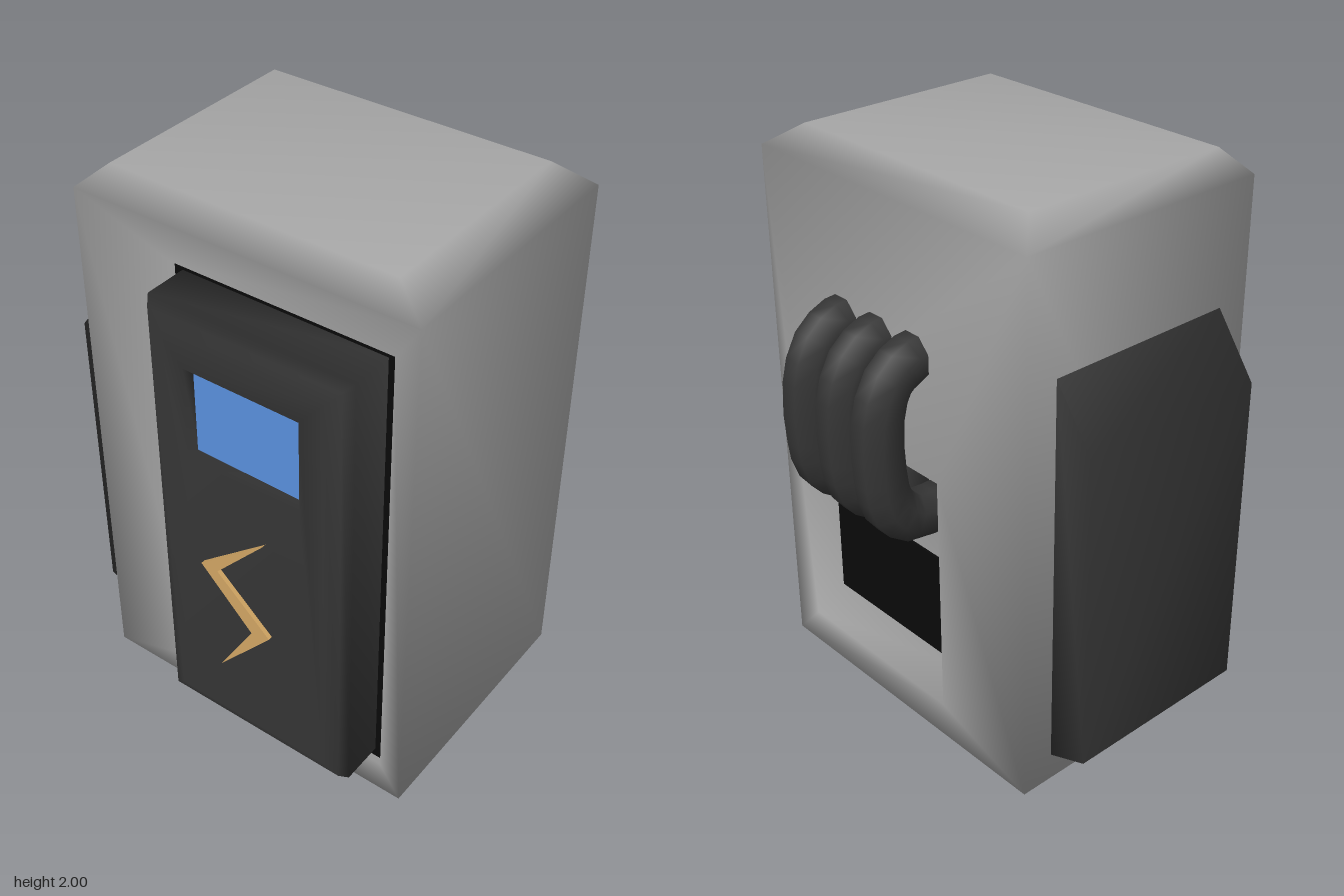
import * as THREE from 'three';
import { mergeGeometries, mergeVertices } from 'three/addons/utils/BufferGeometryUtils.js';

const mat = (name, color) => {
  const m = new THREE.MeshStandardMaterial({ color });
  m.name = name;
  return m;
};

// Skin a list of rings (each a list of [x, y, z]); optional end caps, optional edge left open
function loft(rings, { startCap = false, endCap = false, skip = -1 } = {}) {
  const pos = [];
  const tri = (a, b, c) => pos.push(...a, ...b, ...c);
  const n = rings[0].length;
  for (let r = 0; r + 1 < rings.length; r++) {
    for (let i = 0; i < n; i++) {
      if (i === skip) continue;
      const a = rings[r], b = rings[r + 1], j = (i + 1) % n;
      tri(a[i], a[j], b[j]);
      tri(a[i], b[j], b[i]);
    }
  }
  const s = rings[0], e = rings[rings.length - 1];
  for (let i = 1; i + 1 < n; i++) {
    if (startCap) tri(s[0], s[i + 1], s[i]);
    if (endCap) tri(e[0], e[i], e[i + 1]);
  }
  const g = new THREE.BufferGeometry();
  g.setAttribute('position', new THREE.Float32BufferAttribute(pos, 3));
  return g;
}

// Weld shared corners for soft shading
function soft(...geos) {
  const g = mergeVertices(mergeGeometries(geos));
  g.computeVertexNormals();
  return g;
}

const rect = (x0, x1, y0, y1, z) => [[x0, y0, z], [x1, y0, z], [x1, y1, z], [x0, y1, z]];
const rectY = (x0, x1, z0, z1, y) => [[x0, y, z1], [x1, y, z1], [x1, y, z0], [x0, y, z0]];
const rectX = (y0, y1, z0, z1, x) => [[x, y0, z0], [x, y0, z1], [x, y1, z1], [x, y1, z0]];

export function createModel() {
  const group = new THREE.Group();
  const grey = mat('grey casing', 0xa6a6a6);
  const dark = mat('dark metal', 0x353535);
  const black = mat('black recess', 0x0a0a0a);
  const blue = mat('blue window', 0x5a90de);
  const gold = mat('gold bolt', 0xd2a664);

  const add = (name, geo, material) => {
    const mesh = new THREE.Mesh(geo, material);
    mesh.name = name;
    group.add(mesh);
    return mesh;
  };
  const plate = (name, x0, x1, y0, y1, z, material) => {
    const mesh = add(name, new THREE.BoxGeometry(x1 - x0, y1 - y0, 0.008), material);
    mesh.position.set((x0 + x1) / 2, (y0 + y1) / 2, z);
  };

  // Casing: back recess, outer walls, front recess, and a chamfered lid
  const backOuter = rect(-0.55, 0.7, 0, 1.92, -0.46);
  const frontOuter = rect(-0.55, 0.7, 0, 1.92, 0.49);
  const backRim = rect(-0.14, 0.58, 0.13, 1.02, -0.46);
  const frontRim = rect(-0.18, 0.62, 0.12, 1.8, 0.49);
  add('casing', soft(
    loft([rect(-0.14, 0.58, 0.2, 1.02, -0.33), backRim, backOuter], { startCap: true }),
    loft([backOuter, frontOuter], { skip: 2 }),
    loft([frontOuter, frontRim, rect(-0.18, 0.62, 0.12, 1.8, 0.46)], { endCap: true }),
    loft([rectY(-0.55, 0.7, -0.46, 0.49, 1.92), rectY(-0.46, 0.58, -0.37, 0.42, 2)], { endCap: true }),
  ), grey);

  // Black surfaces inside the two recesses
  plate('doorSurround', -0.18, 0.62, 0.12, 1.8, 0.464, black);
  plate('backVent', -0.14, 0.58, 0.2, 0.6, -0.334, black);

  // Door with rounded rim and a sunken window opening
  const doorRing = (inset, z) => rect(-0.15 + inset, 0.585 - inset, 0.155 + inset, 1.77 - inset, z);
  add('door', soft(loft([
    doorRing(0, 0.465), doorRing(0, 0.62), doorRing(0.022, 0.65), doorRing(0.07, 0.67),
    rect(0.01, 0.43, 1.27, 1.6, 0.67), rect(0.01, 0.43, 1.27, 1.6, 0.62),
  ])), dark);
  plate('window', 0.01, 0.43, 1.27, 1.6, 0.62, blue);

  // Zigzag bolt on the door
  const bolt = new THREE.Shape([
    [0.3, 1.075], [0.05, 0.87], [0.245, 0.675], [0.11, 0.45], [0.315, 0.69], [0.115, 0.87],
  ].map(([x, y]) => new THREE.Vector2(x, y)));
  const boltGeo = new THREE.ExtrudeGeometry(bolt, { depth: 0.017, bevelEnabled: false });
  add('bolt', boltGeo.translate(0, 0, 0.668), gold);

  // Wedge-shaped side box
  add('sideBox', soft(loft([
    rectX(0.1, 1.51, -0.34, 0.37, -0.549), rectX(0.16, 1.3, -0.34, 0.37, -0.7),
  ], { endCap: true })), dark);

  // Three octagonal pipes looping out of the back
  const path = new THREE.CatmullRomCurve3([
    [1.43, -0.4], [1.43, -0.48], [1.38, -0.56], [1.26, -0.605],
    [1.06, -0.605], [0.95, -0.58], [0.875, -0.5], [0.865, -0.33],
  ].map(([y, z]) => new THREE.Vector3(0, y, z)));
  const u = new THREE.Vector3(1, 0, 0);
  const steps = 14;
  const pipeRings = Array.from({ length: steps + 1 }, (_, s) => {
    const c = path.getPoint(s / steps);
    const n = path.getTangent(s / steps).cross(u);
    return Array.from({ length: 8 }, (_, i) => {
      const a = (i + 0.5) * Math.PI / 4;
      return c.clone().addScaledVector(u, 0.081 * Math.cos(a))
        .addScaledVector(n, 0.087 * Math.sin(a)).toArray();
    });
  });
  const pipeGeo = soft(loft(pipeRings, { startCap: true, endCap: true }));
  [-0.042, 0.136, 0.315].forEach((x, i) => {
    add('pipe' + (i + 1), pipeGeo, dark).position.x = x;
  });

  return group;
}
